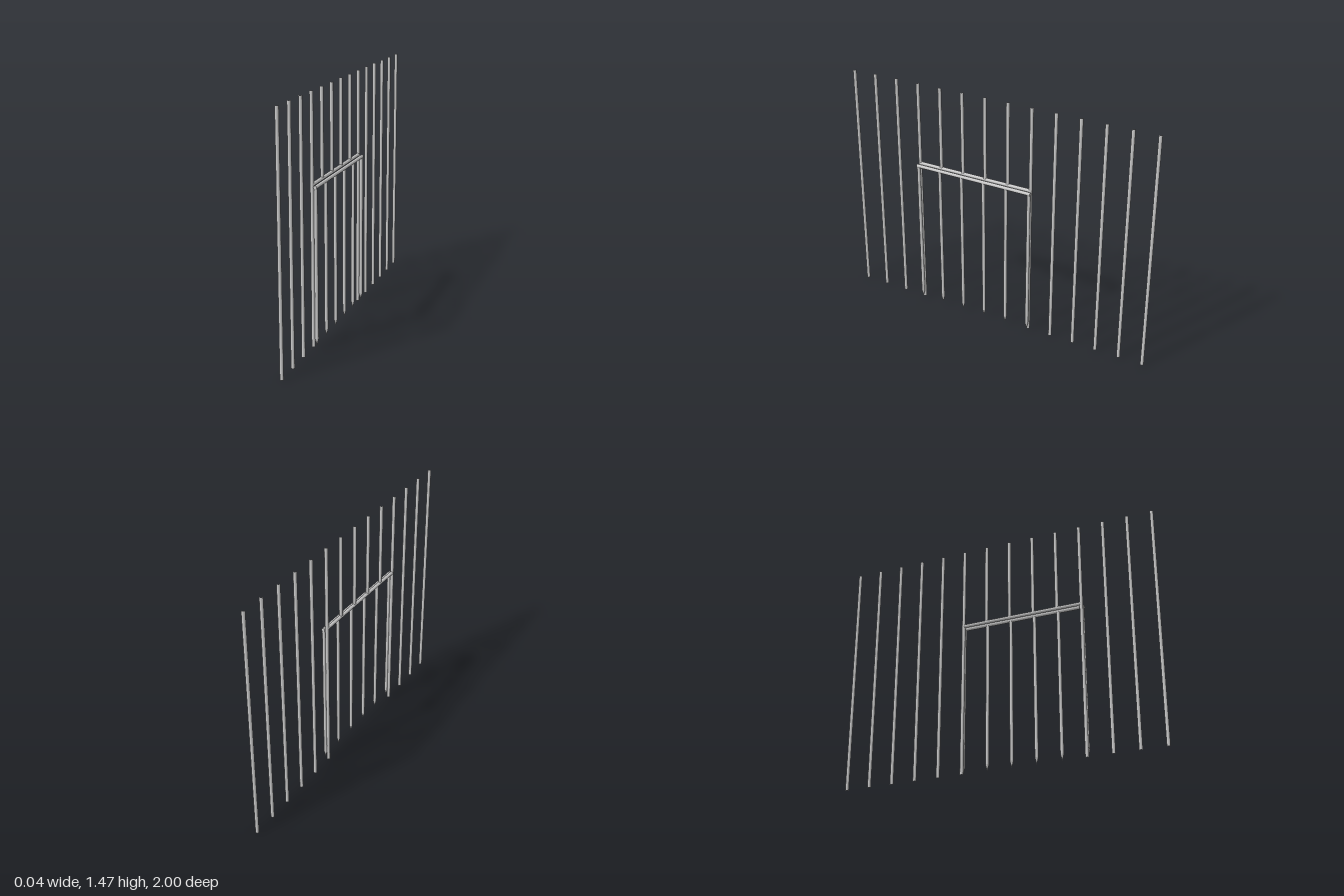
import * as THREE from 'three';

const R = 0.0105;        // bar radius
const STEP = 0.1523;     // spacing between bars
const COUNT = 14;
const FENCE_X = -0.0108, GATE_X = 0.0102;
const TOP = 1.473;
const GATE_FIRST = 3, GATE_LAST = 8; // bars spanned by the gate

export function createModel() {
  const group = new THREE.Group();
  const material = new THREE.MeshStandardMaterial({ color: 0xcccccc });
  const barZ = (i) => (6.5 - i) * STEP;

  function add(name, geometry, x, y, z) {
    const mesh = new THREE.Mesh(geometry, material);
    mesh.name = name;
    mesh.position.set(x, y, z);
    group.add(mesh);
    return mesh;
  }

  // open-ended upright tube
  function upright(name, x, z, y0, y1) {
    add(name, new THREE.CylinderGeometry(R, R, y1 - y0, 12, 1, true), x, (y0 + y1) / 2, z);
  }

  // horizontal tube along z
  function rail(name, x, y, z0, z1) {
    const geometry = new THREE.CylinderGeometry(R, R, z1 - z0, 12).rotateX(Math.PI / 2);
    add(name, geometry, x, y, (z0 + z1) / 2);
  }

  // fence bars: full height, but cut off above the gate opening
  for (let i = 0; i < COUNT; i++) {
    const overGate = i > GATE_FIRST && i < GATE_LAST;
    upright(overGate ? 'upperBar' : 'fenceBar', FENCE_X, barZ(i), overGate ? 0.953 : 0, TOP);
  }

  // gate bars with pointed lower ends
  for (let i = GATE_FIRST; i <= GATE_LAST; i++) {
    upright('gateBar', GATE_X, barZ(i), 0.05, 0.941);
    const tip = new THREE.ConeGeometry(R, 0.042, 12, 1, true).rotateX(Math.PI);
    add('gateBarTip', tip, GATE_X, 0.029, barZ(i));
  }

  // lintel of the opening and top rail of the gate
  rail('lintel', FENCE_X, 0.953, barZ(GATE_LAST), barZ(GATE_FIRST));
  rail('gateTopRail', GATE_X, 0.941, barZ(GATE_LAST) - R, barZ(GATE_FIRST) + R);

  return group;
}
